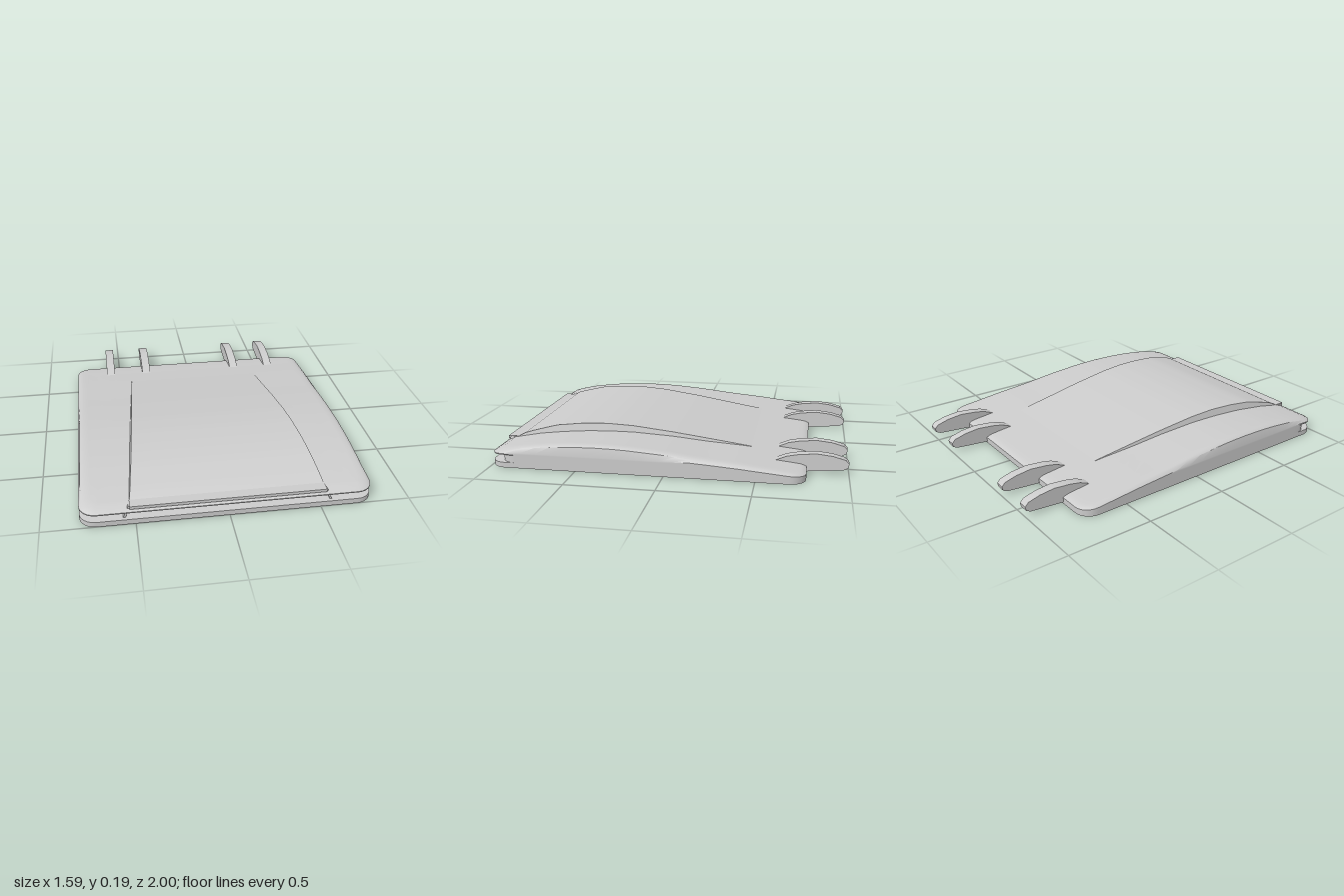
import * as THREE from 'three';
import { toCreasedNormals } from 'three/addons/utils/BufferGeometryUtils.js';

const material = new THREE.MeshStandardMaterial({ color: 0xcccccc, side: THREE.DoubleSide });
const X = 0.795, BACK = -0.77, FRONT = 1.0;

// Height profiles along z, as [z, y] from back to front
const SHELL = [[-0.77, 0.045], [-0.72, 0.052], [-0.6, 0.065], [-0.4, 0.088], [-0.2, 0.106], [0, 0.13], [0.24, 0.149],
  [0.4, 0.152], [0.6, 0.146], [0.8, 0.125], [0.94, 0.1], [1, 0.095]];
const PANEL = [[-0.45, 0.084], [-0.4, 0.092], [-0.2, 0.123], [0, 0.154], [0.24, 0.185], [0.4, 0.195], [0.55, 0.191],
  [0.7, 0.176], [0.88, 0.13], [0.94, 0.1]];

function heightAt(profile, z) {
  let i = 1;
  while (i < profile.length - 1 && z > profile[i][0]) i++;
  const [z0, y0] = profile[i - 1], [z1, y1] = profile[i];
  return y0 + (y1 - y0) * THREE.MathUtils.clamp((z - z0) / (z1 - z0), 0, 1);
}

// Rounded rectangle in plan, always with the same number of points
function outline(inset, scale = 1) {
  const r = Math.max(0.09 - inset, 0.03), hx = X - inset, mid = (FRONT + BACK) / 2, hz = (FRONT - BACK) / 2 - inset;
  const signs = [[1, 1], [-1, 1], [-1, -1], [1, -1]], arcs = signs.map(([sx, sz], c) => {
    const arc = [];
    for (let k = 0; k <= 6; k++) {
      const a = (c + k / 6) * Math.PI / 2;
      arc.push([sx * (hx - r) + r * Math.cos(a), sz * (hz - r) + r * Math.sin(a)]);
    }
    return arc;
  });
  const pts = [];
  arcs.forEach((arc, c) => {
    pts.push(...arc);
    const a = arc[6], b = arcs[(c + 1) % 4][0];
    for (let k = 1; k < 18; k++) pts.push([a[0] + (b[0] - a[0]) * k / 18, a[1] + (b[1] - a[1]) * k / 18]);
  });
  return pts.map(([x, z]) => [x * scale, mid + z * scale]);
}

// Skin a list of equally long point rows
function loft(rows, closed, crease) {
  const n = rows[0].length, index = [];
  for (let i = 0; i < rows.length - 1; i++) {
    for (let j = 0; j < (closed ? n : n - 1); j++) {
      const a = i * n + j, b = i * n + (j + 1) % n;
      index.push(a, a + n, b, b, a + n, b + n);
    }
  }
  const g = new THREE.BufferGeometry();
  g.setAttribute('position', new THREE.Float32BufferAttribute(rows.flat(2), 3));
  g.setIndex(index);
  return toCreasedNormals(g, crease);
}

function shellGeometry() {
  const rows = [], H = z => heightAt(SHELL, z);
  const ring = (inset, scale, yRule, recess = 0) => rows.push(outline(inset, scale).map(([x, z]) => {
    const pulled = z - recess * THREE.MathUtils.smoothstep(z, 0.72, 0.95);
    return [x, yRule(z), pulled];
  }));
  const scales = [0.002, 0.1, 0.2, 0.3, 0.4, 0.5, 0.6, 0.7, 0.8, 0.9, 0.96, 1];
  // hollow underside
  for (const s of scales) ring(0.075, s, z => H(z) - 0.03);
  // flat rim
  ring(0.065, 1, () => 0);
  ring(0, 1, () => 0);
  // outer wall with the groove that runs round the front
  ring(0, 1, z => Math.min(0.03, 0.5 * H(z)));
  ring(0, 1, z => Math.min(0.031, 0.52 * H(z)), 0.06);
  ring(0, 1, z => Math.min(0.079, 0.72 * H(z)), 0.06);
  ring(0, 1, z => Math.min(0.08, 0.74 * H(z)));
  ring(0, 1, z => Math.min(0.088, 0.8 * H(z)));
  // rounded shoulder and top
  ring(0.012, 1, z => 0.92 * H(z), 0.01);
  ring(0.022, 1, z => 0.97 * H(z), 0.02);
  ring(0.036, 1, H, 0.015);
  for (const s of scales.slice(0, -1).reverse()) ring(0.036, s, H);
  return loft(rows, true, 0.6);
}

// Raised centre panel, widening to the front
function panelGeometry() {
  const rows = [];
  for (let i = 0; i <= 28; i++) {
    const t = i / 28, z = -0.45 + 1.39 * t, w = 0.43 + 0.1 * t;
    const top = heightAt(PANEL, z), base = Math.min(heightAt(SHELL, z), top) - 0.006;
    const wTop = w - 0.25 * Math.max(0, top - base);
    const row = [[-w, base, z]];
    for (let k = 0; k <= 8; k++) row.push([wTop * (k / 4 - 1), top, z]);
    row.push([w, base, z]);
    rows.push(row);
  }
  // rows run back to front with x increasing, so the skin faces up
  return loft(rows, false, 0.5);
}

// Hinge arm outline, x = distance towards the back
function hingeGeometry() {
  const s = new THREE.Shape([[0.6, 0.065], [0.66, 0.09], [0.72, 0.102], [0.82, 0.112], [0.91, 0.102], [0.98, 0.083],
    [1, 0.062], [0.995, 0.038], [0.97, 0.025], [0.87, 0.016], [0.77, 0.008], [0.7, 0.03]]
    .map(([x, y]) => new THREE.Vector2(x, y)));
  const g = new THREE.ExtrudeGeometry(s, { depth: 0.055, bevelEnabled: false });
  g.translate(0, 0, -0.0275).rotateY(Math.PI / 2);
  return toCreasedNormals(g, 0.6);
}

export function createModel() {
  const model = new THREE.Group();
  model.name = 'lid';
  const add = (name, geometry, x = 0, y = 0, z = 0) => {
    const m = new THREE.Mesh(geometry, material);
    m.name = name;
    m.position.set(x, y, z);
    model.add(m);
  };
  add('shell', shellGeometry());
  add('raisedPanel', panelGeometry());
  // finger ledge along the front
  add('frontLedge', new THREE.BoxGeometry(1.06, 0.017, 0.07), 0, 0.0965, 0.957);
  // hinge arms
  const hinge = hingeGeometry();
  for (const x of [-0.565, -0.315, 0.315, 0.565]) add('hingeArm', hinge, x);
  // small slanted ends of the front recess
  for (const side of [-1, 1]) {
    const s = new THREE.Shape([[0.553, 0.03], [0.565, 0.03], [0.537, 0.1], [0.525, 0.1]]
      .map(([x, y]) => new THREE.Vector2(side * x, y)));
    add('recessEnd', new THREE.ExtrudeGeometry(s, { depth: 0.045, bevelEnabled: false }), 0, 0, 0.935);
  }
  return model;
}
